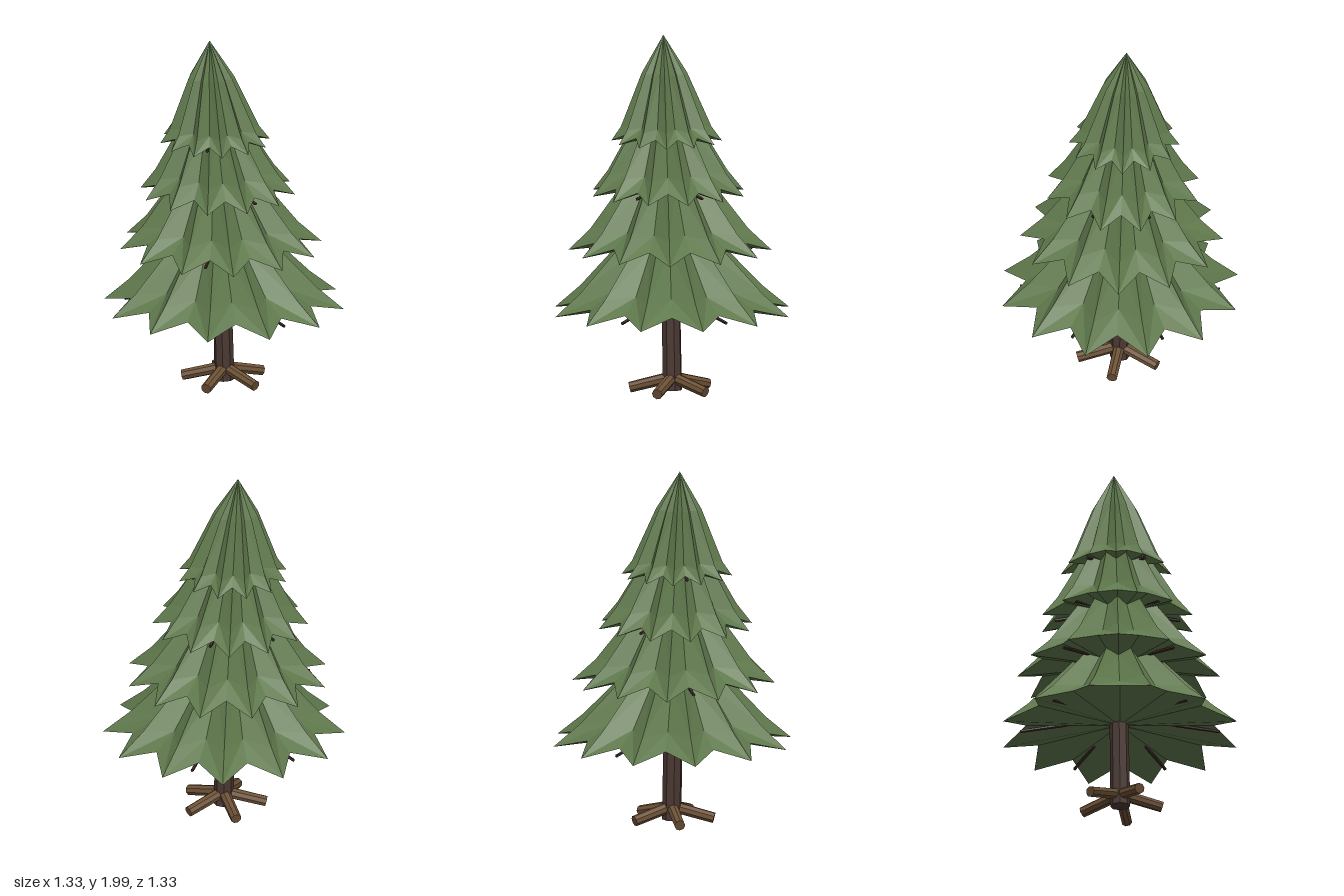
import * as THREE from 'three';

const mat = (name, color) => {
  const m = new THREE.MeshStandardMaterial({ color, flatShading: true });
  m.name = name;
  return m;
};

// The tree leans slightly: axis position at height y
const lean = (y) => {
  const t = Math.max(0, (y - 0.4) / 1.6);
  return new THREE.Vector3(-0.08 * t, y, 0.03 * t);
};
const polar = (centre, radius, angle, y) =>
  new THREE.Vector3(centre.x + radius * Math.cos(angle), y, centre.z + radius * Math.sin(angle));

// Straight rod between two points
function rod(a, b, rA, rB, sides, material, name) {
  const dir = b.clone().sub(a);
  const mesh = new THREE.Mesh(new THREE.CylinderGeometry(rB, rA, dir.length(), sides), material);
  mesh.position.copy(a).addScaledVector(dir, 0.5);
  mesh.quaternion.setFromUnitVectors(new THREE.Vector3(0, 1, 0), dir.normalize());
  mesh.name = name;
  return mesh;
}

// Pleated star skirt. Each ring: [ridge radius, ridge y, valley radius, valley y]
function skirtGeometry(rings, apexY, turn) {
  const N = 24, pos = [];
  const tri = (...pts) => pts.forEach((p) => pos.push(p.x, p.y, p.z));
  const loops = rings.map(([rr, ry, vr, vy]) => {
    const c = lean(ry);
    return Array.from({ length: N }, (_, i) => {
      const a = turn + (i / N) * Math.PI * 2;
      return i % 2 ? polar(c, vr, a, vy) : polar(c, rr, a, ry);
    });
  });
  const apex = lean(apexY);
  const under = lean(rings[0][3]);
  for (let i = 0; i < N; i++) {
    const k = (i + 1) % N;
    for (let j = 0; j + 1 < loops.length; j++) {
      const l0 = loops[j][i], l1 = loops[j][k], u0 = loops[j + 1][i], u1 = loops[j + 1][k];
      if (i % 2) { tri(l1, l0, u0); tri(l1, u0, u1); }
      else { tri(l1, l0, u1); tri(l0, u0, u1); }
    }
    const top = loops[loops.length - 1];
    tri(top[k], top[i], apex);
    tri(under, loops[0][i], loops[0][k]);
  }
  const g = new THREE.BufferGeometry();
  g.setAttribute('position', new THREE.Float32BufferAttribute(pos, 3));
  g.computeVertexNormals();
  return g;
}

export function createModel() {
  const tree = new THREE.Group();
  tree.name = 'pineTree';
  const needles = mat('needle green', 0x5f784c);
  const bark = mat('bark brown', 0x4a3832);
  const twig = mat('twig brown', 0x3d2b28);
  const wood = mat('root brown', 0x6d5136);

  // Trunk
  tree.add(rod(new THREE.Vector3(0, 0.025, 0), new THREE.Vector3(-0.015, 0.6, 0.005), 0.055, 0.052, 8, bark, 'trunk'));
  tree.add(rod(new THREE.Vector3(-0.015, 0.6, 0.005), lean(1.7), 0.052, 0.02, 8, bark, 'upperTrunk'));

  // Five splayed roots
  for (let i = 0; i < 5; i++) {
    const a = ((36 + 72 * i) * Math.PI) / 180;
    const o = new THREE.Vector3();
    tree.add(rod(polar(o, 0.01, a, 0.095), polar(o, 0.235, a, 0.037), 0.032, 0.03, 8, wood, 'root'));
  }

  // Needle tiers from bottom to top, with twigs poking out below each
  const tiers = [
    { tip: 0.667, y: 0.46, mid: [0.52, 0.585], high: [0.29, 0.83], apex: 1.15, rise: 0.055, twig: 0.55 },
    { tip: 0.56, y: 0.805, mid: [0.435, 0.925], high: [0.23, 1.2], apex: 1.5, rise: 0.055, twig: 0.455 },
    { tip: 0.43, y: 1.12, mid: [0.34, 1.235], high: [0.185, 1.5], apex: 1.78, rise: 0.05, twig: 0.345 },
    { tip: 0.305, y: 1.413, mid: [0.25, 1.49], high: [0.125, 1.79], apex: 2, rise: 0.04, twig: 0.235 },
  ];
  const twigAngles = [45, 93, 177, 225, 288, 342];
  tiers.forEach((t, n) => {
    const rings = [
      [t.tip, t.y, t.tip * 0.78, t.y + t.rise],
      [t.mid[0], t.mid[1], t.mid[0] * 0.75, t.mid[1] + 0.015],
      [t.high[0], t.high[1], t.high[0] * 0.74, t.high[1]],
    ];
    const skirt = new THREE.Mesh(skirtGeometry(rings, t.apex, n % 2 ? Math.PI / 12 : 0), needles);
    skirt.name = 'needleTier' + (n + 1);
    tree.add(skirt);
    const c = lean(t.y);
    twigAngles.forEach((deg) => {
      const a = (deg * Math.PI) / 180;
      const inner = polar(c, 0.02, a, t.y + 0.015 + t.twig * 0.16);
      tree.add(rod(inner, polar(c, t.twig, a, t.y + 0.018), 0.012, 0.009, 5, twig, 'twig'));
    });
  });
  return tree;
}
